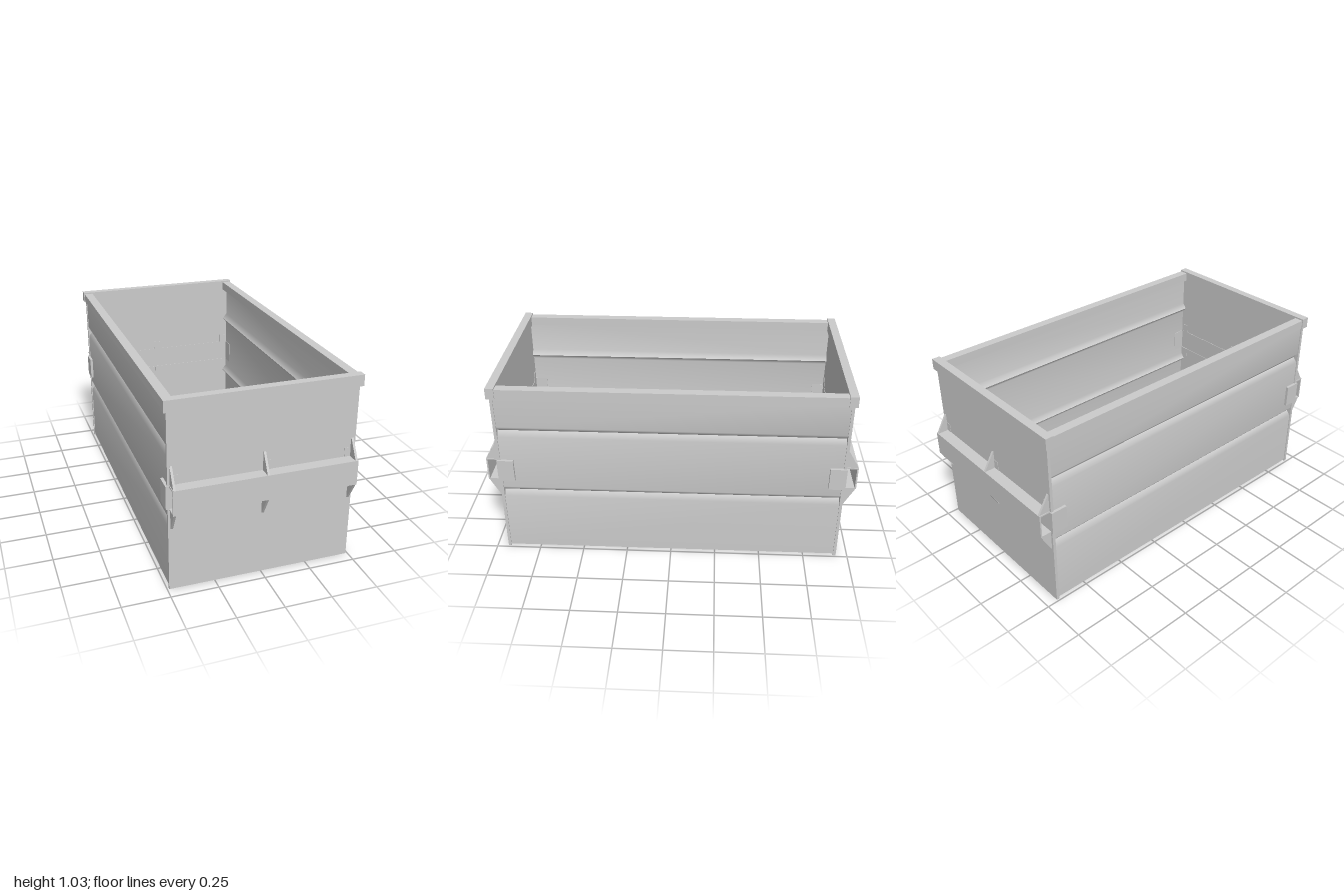
import * as THREE from 'three';

const grey = new THREE.MeshStandardMaterial({ color: 0xcccccc });
const sheet = new THREE.MeshStandardMaterial({ color: 0xcccccc, side: THREE.DoubleSide });

// Box given by its low and high corners
function box(parent, name, [x0, y0, z0], [x1, y1, z1]) {
  const mesh = new THREE.Mesh(new THREE.BoxGeometry(x1 - x0, y1 - y0, z1 - z0), grey);
  mesh.position.set((x0 + x1) / 2, (y0 + y1) / 2, (z0 + z1) / 2);
  mesh.name = name;
  parent.add(mesh);
}

// Sheet swept along z from an [x, y] profile, smooth across its bends
function sweptSheet(profile, halfLength) {
  const positions = [], index = [];
  profile.forEach(([x, y], i) => {
    positions.push(x, y, halfLength, x, y, -halfLength);
    if (i) {
      const a = 2 * i - 2;
      index.push(a, a + 1, a + 3, a, a + 3, a + 2);
    }
  });
  const geometry = new THREE.BufferGeometry();
  geometry.setAttribute('position', new THREE.Float32BufferAttribute(positions, 3));
  geometry.setIndex(index);
  geometry.computeVertexNormals();
  return geometry;
}

// Long wall: three panels meeting in sharp V grooves
function sideWall() {
  const wall = new THREE.Group();
  wall.name = 'sideWall';
  const out = 0.485, valley = 0.46;
  const panels = [
    [[out, 0.01], [out, 0.35], [valley, 0.38]],
    [[valley, 0.38], [out, 0.41], [out, 0.73], [valley, 0.76]],
    [[valley, 0.76], [out, 0.79], [out, 0.98]],
  ];
  for (const profile of panels) {
    const mesh = new THREE.Mesh(sweptSheet(profile, 0.925), sheet);
    mesh.name = 'sidePanel';
    wall.add(mesh);
  }
  box(wall, 'sideRim', [0.45, 0.97, -0.905], [0.5, 1.02, 0.905]);
  return wall;
}

// Triangular web between the wall and the channel
function gusset(x, yWall, yBar) {
  const shape = new THREE.Shape();
  shape.moveTo(0.93, yWall);
  shape.lineTo(0.94, yWall);
  shape.lineTo(0.998, yBar);
  shape.lineTo(0.93, yBar);
  shape.closePath();
  const geometry = new THREE.ExtrudeGeometry(shape, { depth: 0.012, bevelEnabled: false });
  geometry.rotateY(-Math.PI / 2); // shape x becomes z, depth becomes -x
  const mesh = new THREE.Mesh(geometry, grey);
  mesh.position.x = x + 0.006;
  mesh.name = 'gusset';
  return mesh;
}

// End wall with rim, hollow lifting channel, gussets and corner wraps
function endWall() {
  const end = new THREE.Group();
  end.name = 'endWall';
  box(end, 'endPlate', [-0.49, 0, 0.921], [0.49, 0.98, 0.937]);
  box(end, 'endRim', [-0.505, 0.968, 0.905], [0.505, 1.028, 0.95]);

  // Channel open at both ends
  box(end, 'channelFace', [-0.482, 0.455, 0.992], [0.482, 0.59, 1]);
  box(end, 'channelTop', [-0.482, 0.583, 0.918], [0.482, 0.59, 0.992]);
  box(end, 'channelBottom', [-0.482, 0.455, 0.918], [0.482, 0.462, 0.992]);

  for (const x of [-0.472, 0, 0.472]) {
    end.add(gusset(x, 0.69, 0.59), gusset(x, 0.35, 0.455));
    // Gusset feet reaching through the plate
    const x0 = x > 0.1 ? x - 0.038 : x;
    box(end, 'gussetFoot', [x0, 0.59, 0.918], [x0 + 0.038, 0.64, 0.939]);
    box(end, 'gussetFoot', [x0, 0.405, 0.918], [x0 + 0.038, 0.455, 0.939]);
  }
  for (const s of [-1, 1]) {
    const xs = [s * 0.482, s * 0.5].sort((a, b) => a - b);
    box(end, 'cornerWrap', [xs[0], 0.46, 0.85], [xs[1], 0.587, 0.94]);
  }
  return end;
}

export function createModel() {
  const model = new THREE.Group();
  model.name = 'openContainer';
  for (const turn of [0, Math.PI]) {
    const side = sideWall(), end = endWall();
    side.rotation.y = turn;
    end.rotation.y = turn;
    model.add(side, end);
  }
  return model;
}
